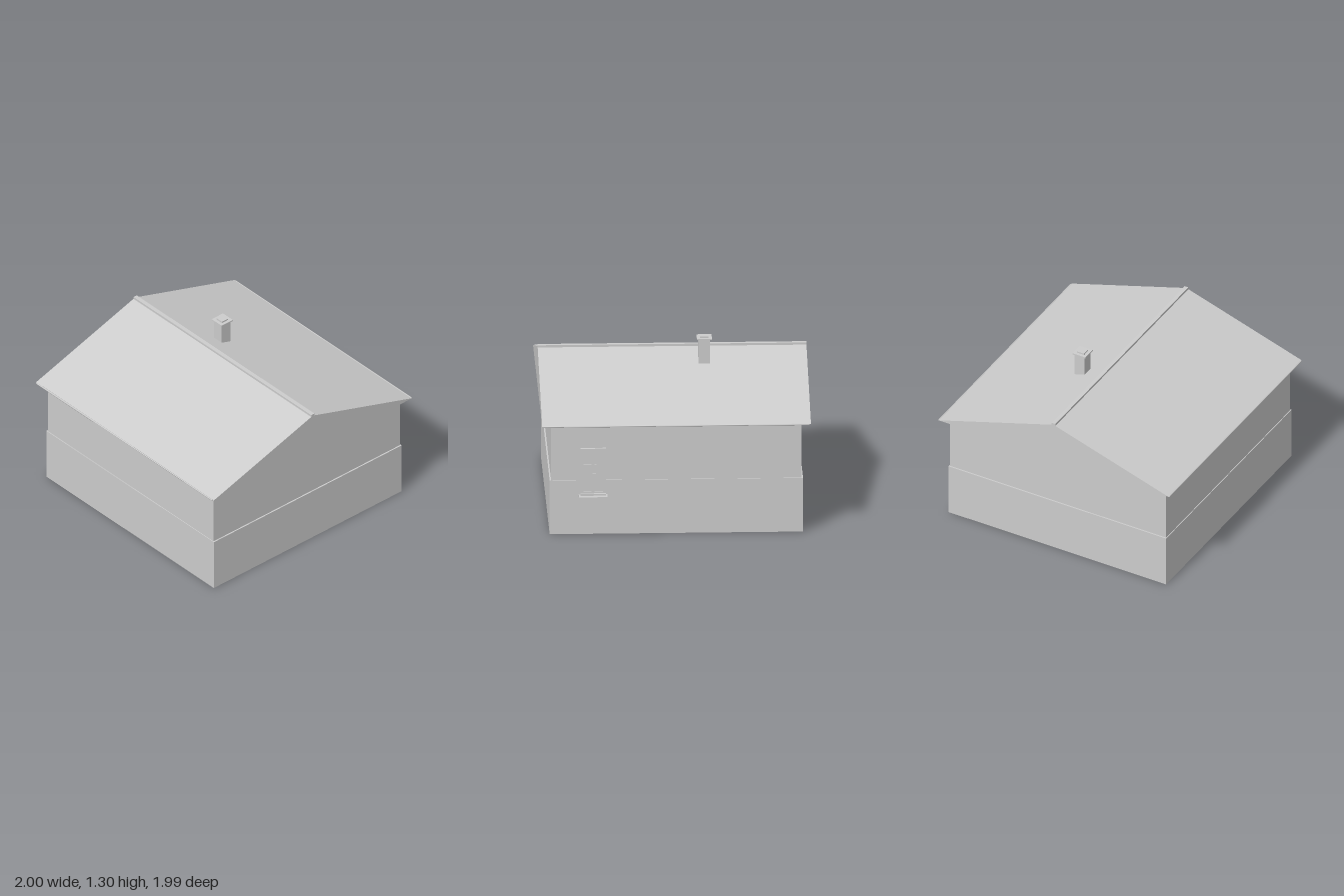
import * as THREE from 'three';

export function createModel() {
  const house = new THREE.Group();
  house.name = 'house';
  const grey = new THREE.MeshStandardMaterial({ color: 0xcccccc });
  grey.name = 'plain grey';

  const add = (parent, name, geometry) => {
    const mesh = new THREE.Mesh(geometry, grey);
    mesh.name = name;
    parent.add(mesh);
    return mesh;
  };
  // Box given by its limits on each axis
  const box = (parent, name, x0, x1, y0, y1, z0, z1) => {
    const mesh = add(parent, name, new THREE.BoxGeometry(x1 - x0, y1 - y0, z1 - z0));
    mesh.position.set((x0 + x1) / 2, (y0 + y1) / 2, (z0 + z1) / 2);
    return mesh;
  };
  const group = (name) => {
    const g = new THREE.Group();
    g.name = name;
    house.add(g);
    return g;
  };

  const midZ = 0.007; // ridge line of the house

  // Walls: the plinth stands slightly proud of the upper wall
  box(house, 'plinth', -0.943, 0.943, 0, 0.42, midZ - 0.931, midZ + 0.931);
  box(house, 'upperWall', -0.932, 0.932, 0.42, 0.858, midZ - 0.925, midZ + 0.925);

  // Solid gable roof with a flat soffit
  const gable = new THREE.Shape([
    new THREE.Vector2(-0.984, 0.858),
    new THREE.Vector2(0.984, 0.858),
    new THREE.Vector2(0, 1.168),
  ]);
  const roof = add(house, 'roof', new THREE.ExtrudeGeometry(gable, { depth: 2, bevelEnabled: false }));
  roof.rotation.y = Math.PI / 2;
  roof.position.set(-1, 0, midZ);
  box(house, 'ridgeCap', -1, 1, 1.16, 1.18, midZ - 0.016, midZ + 0.016);

  // Thin rails along both eaves
  for (const side of [-1, 1]) {
    const rail = add(house, 'eaveRail', new THREE.CylinderGeometry(0.006, 0.006, 1.98, 8));
    rail.rotation.z = Math.PI / 2;
    rail.position.set(0, 0.855, midZ + side * 0.984);
  }

  // Chimney on the back slope
  const chimney = group('chimney');
  chimney.position.set(-0.233, 0, -0.181);
  const block = (name, r, y0, y1) => box(chimney, name, -r, r, y0, y1, -r, r);
  block('chimneyShaft', 0.043, 1.08, 1.281);
  block('chimneyCap', 0.056, 1.281, 1.291);
  block('chimneyTop', 0.031, 1.291, 1.302);

  // Back window
  const win = group('window');
  win.position.set(0.62, 0, 0);
  const wall = -0.9;
  box(win, 'windowPane', -0.08, 0.08, 0.32, 0.66, -0.929, wall);
  for (const side of [-1, 1]) {
    box(win, 'windowJamb', side * 0.084 - 0.011, side * 0.084 + 0.011, 0.31, 0.67, -0.94, wall);
    // Each sash has a narrow stile beside the centre and a glazing bar
    box(win, 'glazingBar', side * 0.042 - 0.031, side * 0.042 + 0.031, 0.535, 0.547, -0.935, wall);
  }
  box(win, 'windowHead', -0.073, 0.073, 0.648, 0.67, -0.94, wall);
  box(win, 'windowBottomRail', -0.073, 0.073, 0.31, 0.332, -0.94, wall);
  box(win, 'windowMullion', -0.011, 0.011, 0.332, 0.648, -0.938, wall);
  box(win, 'windowHandle', -0.022, 0.004, 0.468, 0.478, -0.946, -0.938);
  box(win, 'sillStep', -0.095, 0.095, 0.309, 0.322, -0.96, wall);
  box(win, 'windowSill', -0.107, 0.107, 0.292, 0.309, -0.997, wall);

  return house;
}
